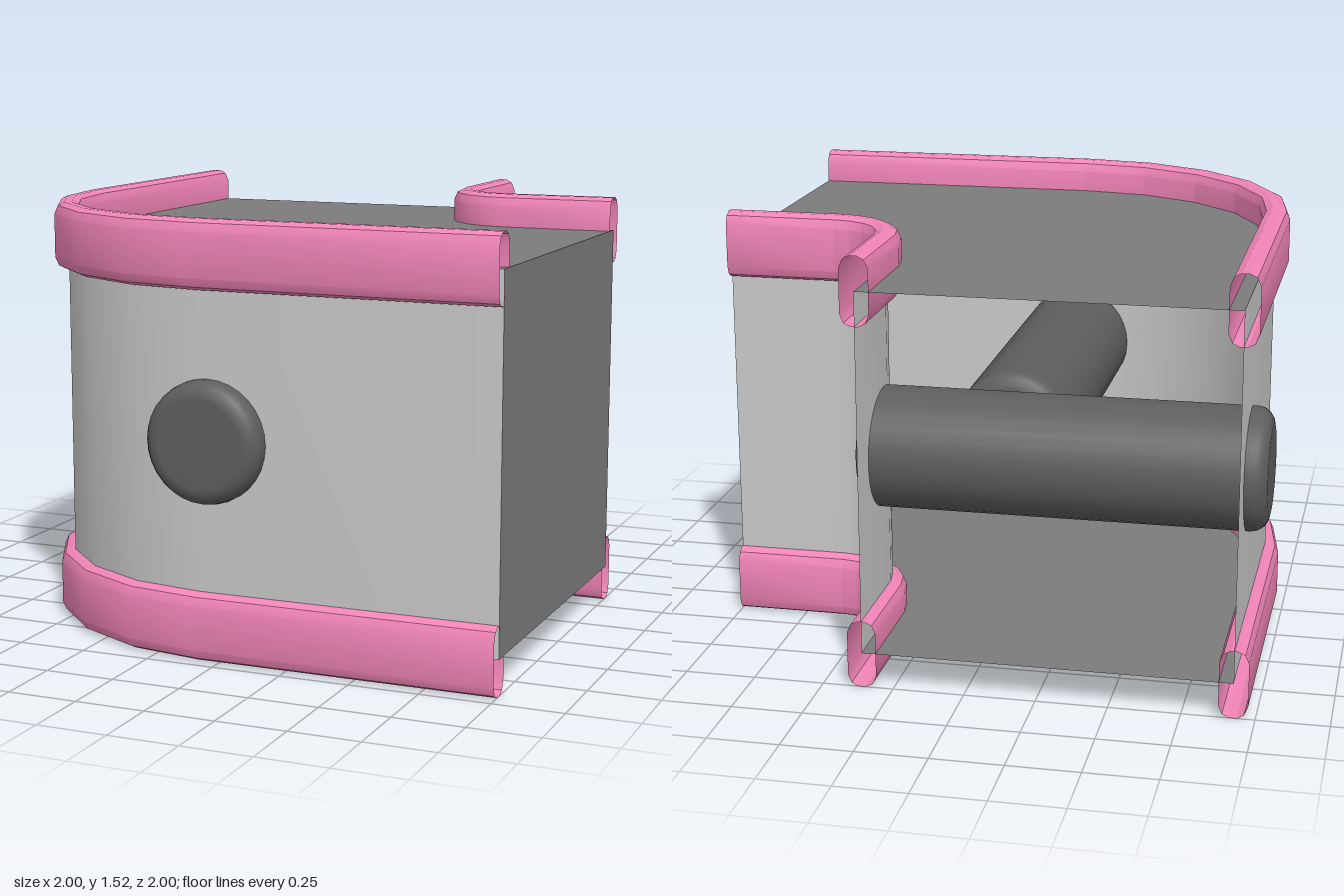
import * as THREE from 'three';
import { toCreasedNormals } from 'three/addons/utils/BufferGeometryUtils.js';

const paint = (color) => new THREE.MeshStandardMaterial({ color, side: THREE.DoubleSide });
const wallMat = paint(0xcccccc);
const panelMat = paint(0x7c7c7c);
const rodMat = paint(0x5e5e5e);
const pinkMat = paint(0xf285b8);

// The two bends: centre and radius of each quarter turn
const OUTER = { cx: -0.08, cz: 0.08, r: 0.845 };
const INNER = { cx: 0.6, cz: -0.6, r: 0.24 };
const FLOOR_Y = 0.125, ROOF_Y = 1.405, STEPS = 5;

// Straight, quarter turn, straight: [x, z] points at a sideways offset
function bendPath({ cx, cz, r }, offset = 0) {
  const R = r + offset;
  const points = [[cx - R, -1]];
  for (let i = 0; i <= STEPS; i++) {
    const a = (i / STEPS) * Math.PI / 2;
    points.push([cx - R * Math.cos(a), cz + R * Math.sin(a)]);
  }
  points.push([1, cz + R]);
  return points;
}

// Sweep a profile of [offset, y] points along a bend
function sweep(bend, profile, closed) {
  const rows = closed ? [...profile, profile[0]] : profile;
  const positions = [], index = [];
  const n = STEPS + 3;
  for (const [offset, y] of rows) {
    for (const [x, z] of bendPath(bend, offset)) positions.push(x, y, z);
  }
  for (let j = 0; j < rows.length - 1; j++) {
    for (let i = 0; i < n - 1; i++) {
      const a = j * n + i, b = a + 1, c = a + n, d = c + 1;
      index.push(a, b, c, b, d, c);
    }
  }
  const g = new THREE.BufferGeometry();
  g.setAttribute('position', new THREE.Float32BufferAttribute(positions, 3));
  g.setIndex(index);
  return toCreasedNormals(g, 0.42);
}

// Rounded oblong rail section centred on height y
function railProfile(y) {
  const quarter = [[0.05, 0.078], [0.037, 0.108], [0.013, 0.12]];
  const back = [...quarter].reverse();
  return [
    ...quarter.map(([x, h]) => [x, h]),
    ...back.map(([x, h]) => [-x, h]),
    ...quarter.map(([x, h]) => [-x, -h]),
    ...back.map(([x, h]) => [x, -h]),
  ].map(([x, h]) => [x, y + h]);
}

// Rod with rounded rims, lying along +y from 0 to length
function rodGeometry(length, radius, bevel) {
  const profile = [new THREE.Vector2(0, 0)];
  for (let i = 0; i <= 4; i++) {
    const a = (i / 4) * Math.PI / 2;
    profile.push(new THREE.Vector2(radius - bevel + bevel * Math.sin(a), bevel * (1 - Math.cos(a))));
  }
  for (let i = 4; i >= 0; i--) {
    const a = (i / 4) * Math.PI / 2;
    profile.push(new THREE.Vector2(radius - bevel + bevel * Math.sin(a), length - bevel * (1 - Math.cos(a))));
  }
  profile.push(new THREE.Vector2(0, length));
  return new THREE.LatheGeometry(profile, 32);
}

export function createModel() {
  const model = new THREE.Group();
  const add = (name, geometry, material) => {
    const mesh = new THREE.Mesh(geometry, material);
    mesh.name = name;
    model.add(mesh);
    return mesh;
  };

  // Curved side walls and the rails along their edges
  for (const [side, bend] of [['outer', OUTER], ['inner', INNER]]) {
    add(side + 'Wall', sweep(bend, [[0, FLOOR_Y], [0, ROOF_Y]], false), wallMat);
    add(side + 'LowerRail', sweep(bend, railProfile(0.12), true), pinkMat);
    add(side + 'UpperRail', sweep(bend, railProfile(1.405), true), pinkMat);
  }

  // Floor and roof panels fill the bend between the walls
  const outline = [...bendPath(OUTER), ...bendPath(INNER).reverse()];
  const shape = new THREE.Shape(outline.map(([x, z]) => new THREE.Vector2(x, -z)));
  for (const [name, y] of [['floor', FLOOR_Y], ['roof', ROOF_Y]]) {
    const panel = new THREE.ShapeGeometry(shape);
    panel.rotateX(-Math.PI / 2);
    add(name, panel, panelMat).position.y = y;
  }

  // End panel closes the +x opening; the back opening stays open
  const zFront = OUTER.cz + OUTER.r, zBack = INNER.cz + INNER.r;
  const end = new THREE.PlaneGeometry(zFront - zBack, ROOF_Y - FLOOR_Y);
  end.rotateY(Math.PI / 2);
  add('endPanel', end, panelMat).position.set(1, (FLOOR_Y + ROOF_Y) / 2, (zFront + zBack) / 2);

  // Two crossing rods whose rounded ends stand out of the walls
  const rod = rodGeometry(1.42, 0.215, 0.06);
  const crossRod = add('crossRod', rod, rodMat);
  crossRod.rotation.z = -Math.PI / 2;
  crossRod.position.set(-1, 0.768, -0.648);
  const frontRod = add('frontRod', rod, rodMat);
  frontRod.rotation.x = -Math.PI / 2;
  frontRod.position.set(-0.045, 0.768, 1);

  return model;
}
